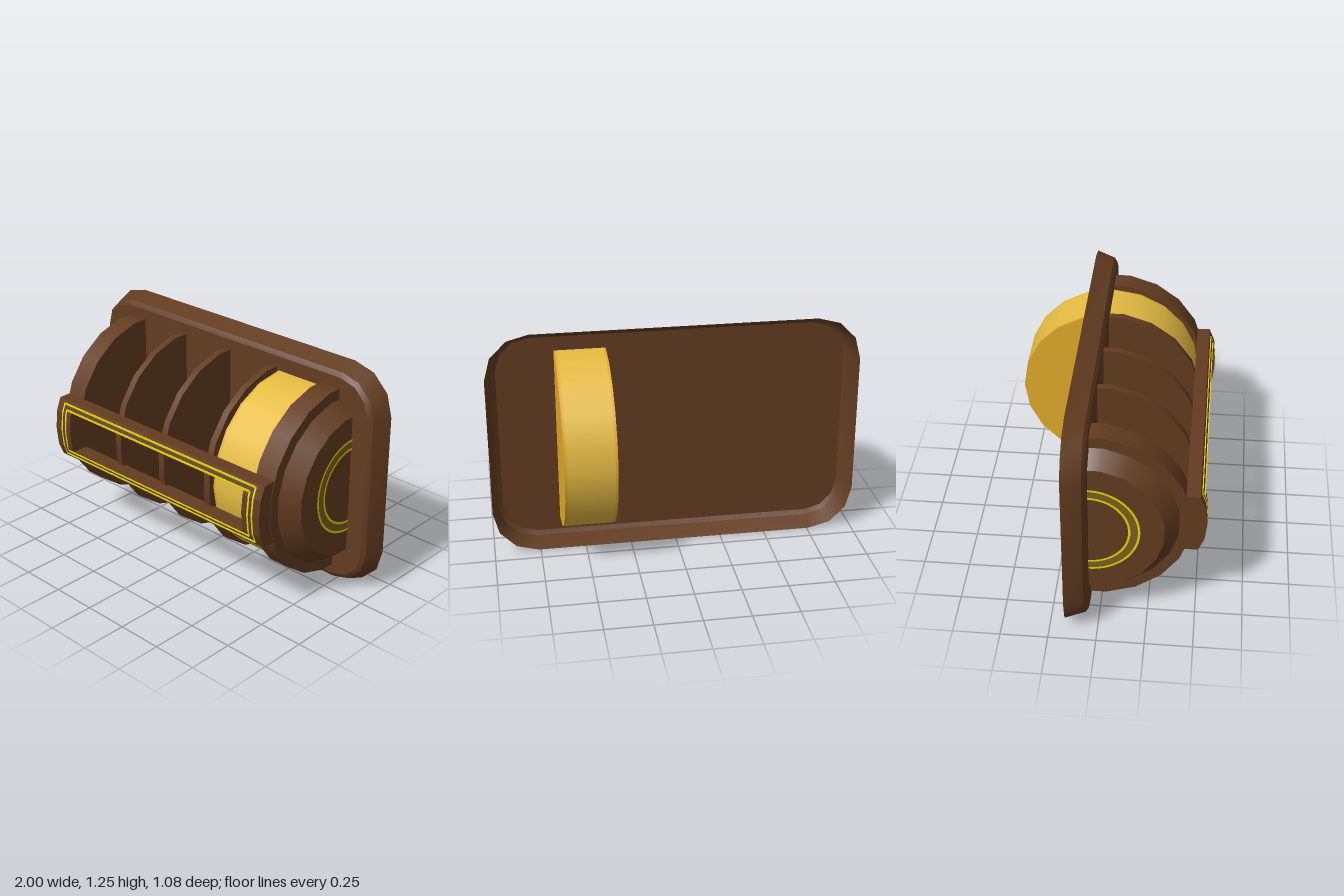
import * as THREE from 'three';
import { toCreasedNormals } from 'three/addons/utils/BufferGeometryUtils.js';

const CY = 0.627;   // height of the drum axis
const CZ = -0.05;   // depth of the drum axis

const mat = (name, color, side = THREE.FrontSide) => {
  const m = new THREE.MeshStandardMaterial({ color, side });
  m.name = name;
  return m;
};

export function createModel() {
  const group = new THREE.Group();
  const brown = mat('brown', 0x623c20, THREE.DoubleSide);
  const gold = mat('gold', 0xe2ac2a);
  const paleGold = mat('pale gold', 0xe4bb42);
  const olive = mat('olive', 0x7e5e1e);
  const yellow = mat('bright yellow', 0xe6d40a);

  const add = (name, geo, material) => {
    const m = new THREE.Mesh(geo, material);
    m.name = name;
    group.add(m);
  };

  // Twenty-sided drum slice lying along x, radius r0 at x0 and r1 at x1
  const drum = (x0, x1, r0, r1, turn = 0, open = false) => {
    const g = new THREE.CylinderGeometry(r1, r0, x1 - x0, 20, 1, open);
    g.rotateZ(-Math.PI / 2).rotateX(turn);
    return g.translate((x0 + x1) / 2, CY, CZ);
  };

  // Same slice, flattened where it meets the back plate
  const halfDrum = (x0, x1, r0, r1) => {
    const g = drum(x0, x1, r0, r1, Math.PI / 20);
    const p = g.attributes.position;
    for (let i = 0; i < p.count; i++) p.setZ(i, Math.max(p.getZ(i), -0.049));
    return g;
  };

  // Extrude a (z, y) profile along x
  const bar = (profile, x0, x1) => {
    const shape = new THREE.Shape(profile.map(([z, y]) => new THREE.Vector2(-z, y)));
    const g = new THREE.ExtrudeGeometry(shape, { depth: x1 - x0, bevelEnabled: false });
    return g.rotateY(Math.PI / 2).translate(x0, 0, 0);
  };

  // Back plate: thin rounded tray open to the back, built from rings [inset, z, scale]
  const outline = (inset, z, s) => {
    const pts = [], r = 0.24;
    for (let c = 0; c < 4; c++) {
      const cx = (c === 0 || c === 3 ? 1 : -1) * (1 - r);
      const cy = (c < 2 ? 1 : -1) * (CY - r);
      for (let k = 0; k < 4; k++) {
        const a = (c + k / 3) * Math.PI / 2;
        pts.push([s * (cx + (r - inset) * Math.cos(a)), CY + s * (cy + (r - inset) * Math.sin(a)), z]);
      }
    }
    return pts;
  };
  const rings = [
    [0.06, -0.05, 0], [0.06, -0.05, 1], [0.036, -0.066, 1], [0, -0.164, 1],
  ].map(r => outline(...r));
  const pos = [];
  for (let j = 0; j < rings.length - 1; j++) {
    const a = rings[j], b = rings[j + 1];
    for (let i = 0; i < 16; i++) {
      const n = (i + 1) % 16;
      pos.push(...a[i], ...b[i], ...b[n]);
      if (j > 0) pos.push(...a[i], ...b[n], ...a[n]);
    }
  }
  const plate = new THREE.BufferGeometry();
  plate.setAttribute('position', new THREE.Float32BufferAttribute(pos, 3));
  add('backPlate', toCreasedNormals(plate, 0.55), brown);

  // Ribs
  for (const x of [-0.333, -0.002, 0.329]) {
    add('rib', halfDrum(x - 0.019, x + 0.019, 0.516, 0.516), brown);
  }

  // End caps with inlaid half rings
  for (const s of [-1, 1]) {
    const side = s > 0 ? 'left' : 'right';
    const span = (a, b, ra, rb) => s > 0 ? halfDrum(a, b, ra, rb) : halfDrum(-b, -a, rb, ra);
    add(side + 'EndDisc', span(0.64, 0.76, 0.516, 0.516), brown);
    add(side + 'EndCap', span(0.76, 0.848, 0.456, 0.385), brown);
    const ring = (r0, r1, x) => new THREE.RingGeometry(r0, r1, 32, 1, s * Math.PI / 2, Math.PI)
      .rotateY(s * Math.PI / 2).translate(s * x, CY, CZ);
    add(side + 'RingBand', ring(0.205, 0.26, 0.85), olive);
    add(side + 'RingInnerLine', ring(0.201, 0.213, 0.852), yellow);
    add(side + 'RingOuterLine', ring(0.25, 0.262, 0.852), yellow);
  }

  // Wheel through the plate: pale tread with gold edges and faces
  add('wheelTread', drum(0.37, 0.618, 0.49, 0.49, 0, true), paleGold);
  add('wheelRightFace', drum(0.357, 0.37, 0.49, 0.49), gold);
  add('wheelLeftFace', drum(0.618, 0.631, 0.49, 0.49), gold);

  // Front frame: curved end blocks joined by two rails
  const mirrorY = profile => profile.map(([z, y]) => [z, 2 * CY - y]);
  const bow = (back, y, z, d) => {
    const top = [[back, y], [z, y], [0.53 + d, CY + 0.1]];
    return [...top, [0.54 + d, CY], ...mirrorY(top).reverse()];
  };
  const endProfile = bow(0.43, 0.8, 0.5, 0);
  add('frameLeftEnd', bar(endProfile, 0.64, 0.757), brown);
  add('frameRightEnd', bar(endProfile, -0.757, -0.64), brown);
  const rail = [[0.43, 0.8], [0.5, 0.8], [0.523, 0.746], [0.43, 0.746]];
  add('frameTopRail', bar(rail, -0.64, 0.64), brown);
  add('frameBottomRail', bar(mirrorY(rail), -0.64, 0.64), brown);

  // Thin inlaid lines around the frame
  for (const [x, y, z] of [[0.708, 0.78, 0.508], [0.68, 0.751, 0.52]]) {
    for (const s of [-1, 1]) {
      add('frameLine', new THREE.BoxGeometry(2 * x, 0.01, 0.008)
        .translate(0, CY + s * (y - CY), z), yellow);
      add('frameEndLine', bar(bow(0.48, y, z + 0.003, 0.0015), s * x - 0.005, s * x + 0.005), yellow);
    }
  }
  return group;
}
